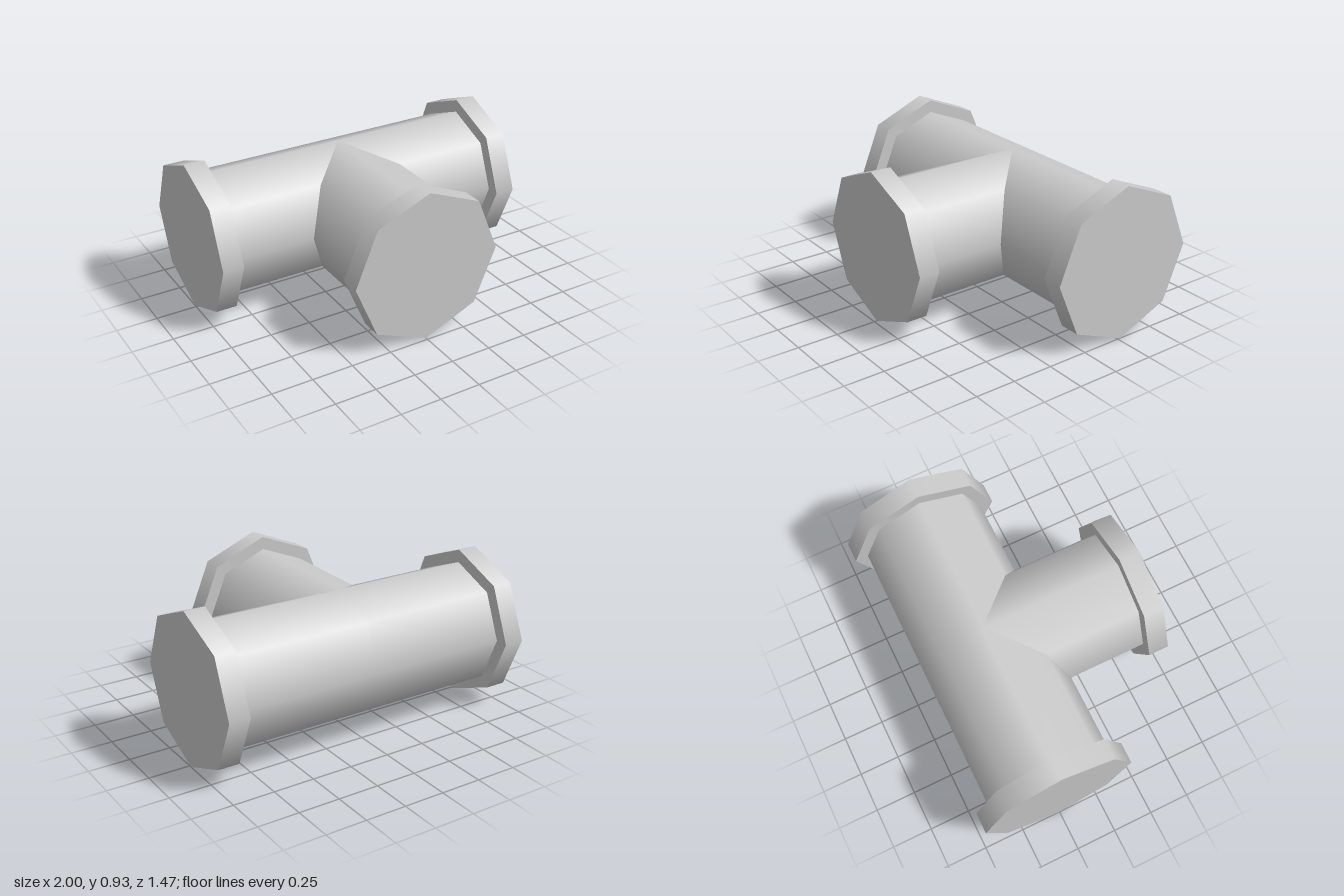
import * as THREE from 'three';

const SIDES = 8;
const PIPE_R = 0.387;
const FLANGE_R = 0.467;
const FLANGE_T = 0.127;
const AXIS_Y = 0.467;
const AXIS_Z = -0.266;

export function createModel() {
  const model = new THREE.Group();
  const material = new THREE.MeshStandardMaterial({ color: 0xcccccc });

  // Smooth-shaded octagonal cylinder along +y of its parent, from one height to another
  const tube = (parent, name, radius, from, to, open) => {
    const geometry = new THREE.CylinderGeometry(radius, radius, to - from, SIDES, 1, open);
    const mesh = new THREE.Mesh(geometry, material);
    mesh.name = name;
    mesh.position.y = (from + to) / 2;
    parent.add(mesh);
  };

  // One arm of the tee: pipe from the junction, closed by a wider flange
  const arm = (name, length) => {
    const group = new THREE.Group();
    group.name = name;
    group.position.set(0, AXIS_Y, AXIS_Z);
    tube(group, name + 'Pipe', PIPE_R, 0, length - FLANGE_T, true);
    tube(group, name + 'Flange', FLANGE_R, length - FLANGE_T, length, false);
    model.add(group);
    return group;
  };

  // Straight run along x, left and right
  arm('leftArm', 1).rotation.z = -Math.PI / 2;
  arm('rightArm', 1).rotation.z = Math.PI / 2;

  // Branch towards the front
  arm('frontBranch', 0.999).rotation.x = Math.PI / 2;

  return model;
}
